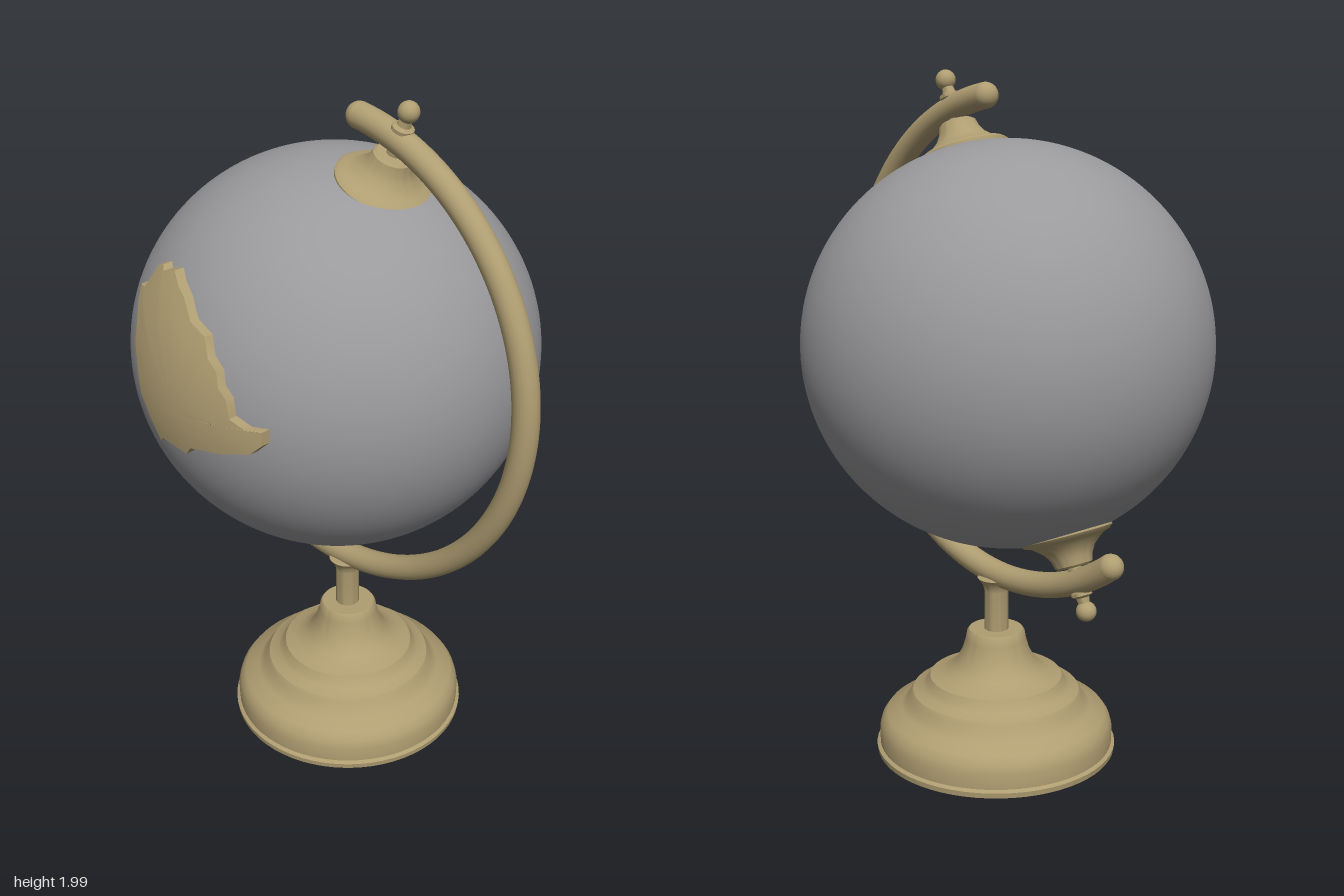
import * as THREE from 'three';
import { toCreasedNormals } from 'three/addons/utils/BufferGeometryUtils.js';

const brass = new THREE.MeshStandardMaterial({ color: 0xb09e72 });
brass.name = 'brass';
const grey = new THREE.MeshStandardMaterial({ color: 0x9a9a9d });
grey.name = 'globe grey';

const CENTER = new THREE.Vector3(-0.074, 1.235, -0.012);
const RADII = new THREE.Vector3(0.587, 0.573, 0.577);
const TILT = THREE.MathUtils.degToRad(22.4);
const Z = -0.008;

// Land outline as x, y pairs, clockwise seen from the front
const OUTLINE = [
  -0.318, 1.495, -0.29, 1.497, -0.255, 1.563, -0.234, 1.57, -0.218, 1.56, -0.17, 1.575,
  -0.134, 1.553, -0.09, 1.532, -0.044, 1.49, 0.014, 1.468, 0.04, 1.42, 0.072, 1.394,
  0.083, 1.357, 0.109, 1.33, 0.12, 1.283, 0.141, 1.272, 0.162, 1.262, 0.204, 1.263,
  0.204, 1.225, 0.172, 1.193, 0.088, 1.172, -0.012, 1.156, -0.033, 1.13, -0.128, 1.14,
  -0.144, 1.125, -0.18, 1.182, -0.223, 1.24, -0.239, 1.294, -0.27, 1.362, -0.28, 1.415,
  -0.302, 1.458,
];

function add(parent, name, geometry, material, x = 0, y = 0, z = 0) {
  const mesh = new THREE.Mesh(geometry, material);
  mesh.name = name;
  mesh.position.set(x, y, z);
  parent.add(mesh);
  return mesh;
}

function lathe(points, segments = 64) {
  const profile = points.map(([r, y]) => new THREE.Vector2(r, y));
  return toCreasedNormals(new THREE.LatheGeometry(profile, segments), 0.6);
}

// Raised land plate: shrinking copies of the outline laid over the globe, plus a side wall
function landGeometry() {
  const count = OUTLINE.length / 2, steps = 8;
  const mid = [-0.044, 1.246];
  const surfaceZ = (x, y, lift) => {
    const u = (x - CENTER.x) / (RADII.x + lift), v = (y - CENTER.y) / (RADII.y + lift);
    return CENTER.z + (RADII.z + lift) * Math.sqrt(1 - u * u - v * v);
  };
  const positions = [], index = [];
  const ring = (scale, lift) => {
    for (let i = 0; i < count; i++) {
      const x = mid[0] + (OUTLINE[2 * i] - mid[0]) * scale;
      const y = mid[1] + (OUTLINE[2 * i + 1] - mid[1]) * scale;
      positions.push(x, y, surfaceZ(x, y, lift));
    }
  };
  ring(1, -0.015);
  for (let s = 0; s <= steps; s++) ring(Math.max(1 - s / steps, 0.001), 0.024);
  for (let r = 0; r <= steps; r++) {
    for (let i = 0; i < count; i++) {
      const j = (i + 1) % count;
      const a = r * count + i, b = r * count + j, c = a + count, d = b + count;
      index.push(a, c, b, b, c, d);
    }
  }
  const geometry = new THREE.BufferGeometry();
  geometry.setAttribute('position', new THREE.Float32BufferAttribute(positions, 3));
  geometry.setIndex(index);
  return toCreasedNormals(geometry, 0.6);
}

export function createModel() {
  const model = new THREE.Group();
  model.name = 'deskGlobe';

  // Stepped round base
  add(model, 'base', lathe([
    [0, 0], [0.358, 0], [0.36, 0.016], [0.35, 0.022], [0.351, 0.065], [0.344, 0.09],
    [0.328, 0.112], [0.285, 0.13], [0.268, 0.145], [0.258, 0.168], [0.25, 0.18],
    [0.22, 0.192], [0.208, 0.205], [0.198, 0.224], [0.165, 0.234], [0.135, 0.25],
    [0.115, 0.275], [0.1, 0.305], [0.09, 0.34], [0.086, 0.362], [0.08, 0.37], [0, 0.37],
  ]), brass, -0.022, 0, Z);

  // Stem flaring into the arm
  add(model, 'stem', lathe([
    [0.036, 0.36], [0.036, 0.49], [0.04, 0.508], [0.05, 0.522], [0.056, 0.53], [0, 0.54],
  ], 32), brass, -0.024, 0, Z);

  // Curved arm with rounded ends
  const armRadius = 0.693, tube = 0.037;
  const from = THREE.MathUtils.degToRad(-126.6), to = THREE.MathUtils.degToRad(82);
  const arm = new THREE.Group();
  arm.name = 'arm';
  arm.position.set(CENTER.x, CENTER.y, Z);
  model.add(arm);
  add(arm, 'armArc', new THREE.TorusGeometry(armRadius, tube, 20, 96, to - from), brass).rotation.z = from;
  for (const angle of [from, to]) {
    add(arm, 'armEnd', new THREE.SphereGeometry(tube, 20, 14), brass,
      armRadius * Math.cos(angle), armRadius * Math.sin(angle));
  }

  // Globe and raised land
  const globe = add(model, 'globe', new THREE.SphereGeometry(1, 96, 64), grey, CENTER.x, CENTER.y, CENTER.z);
  globe.scale.copy(RADII);
  add(model, 'land', landGeometry(), brass);

  // Matching pole caps, pivots and ball finials at both ends of the tilted axis
  const axis = new THREE.Group();
  axis.name = 'axis';
  axis.position.set(-0.102, 1.246, Z);
  axis.rotation.z = -TILT;
  model.add(axis);
  const cap = lathe([
    [0.1, 0.53], [0.132, 0.54], [0.133, 0.56], [0.122, 0.57], [0.105, 0.575], [0.09, 0.586],
    [0.072, 0.602], [0.06, 0.622], [0.054, 0.644], [0.046, 0.65], [0, 0.65],
  ], 48);
  const finial = lathe([
    [0.02, 0.64], [0.02, 0.715], [0.03, 0.722], [0.03, 0.732], [0.019, 0.738], [0.016, 0.755], [0, 0.76],
  ], 24);
  for (const [side, turn] of [['top', 0], ['bottom', Math.PI]]) {
    const pole = new THREE.Group();
    pole.name = side + 'Pole';
    pole.rotation.z = turn;
    axis.add(pole);
    add(pole, 'poleCap', cap, brass);
    add(pole, 'pivot', finial, brass);
    add(pole, 'finialBall', new THREE.SphereGeometry(0.029, 24, 16), brass, 0, 0.777, 0);
  }
  return model;
}
